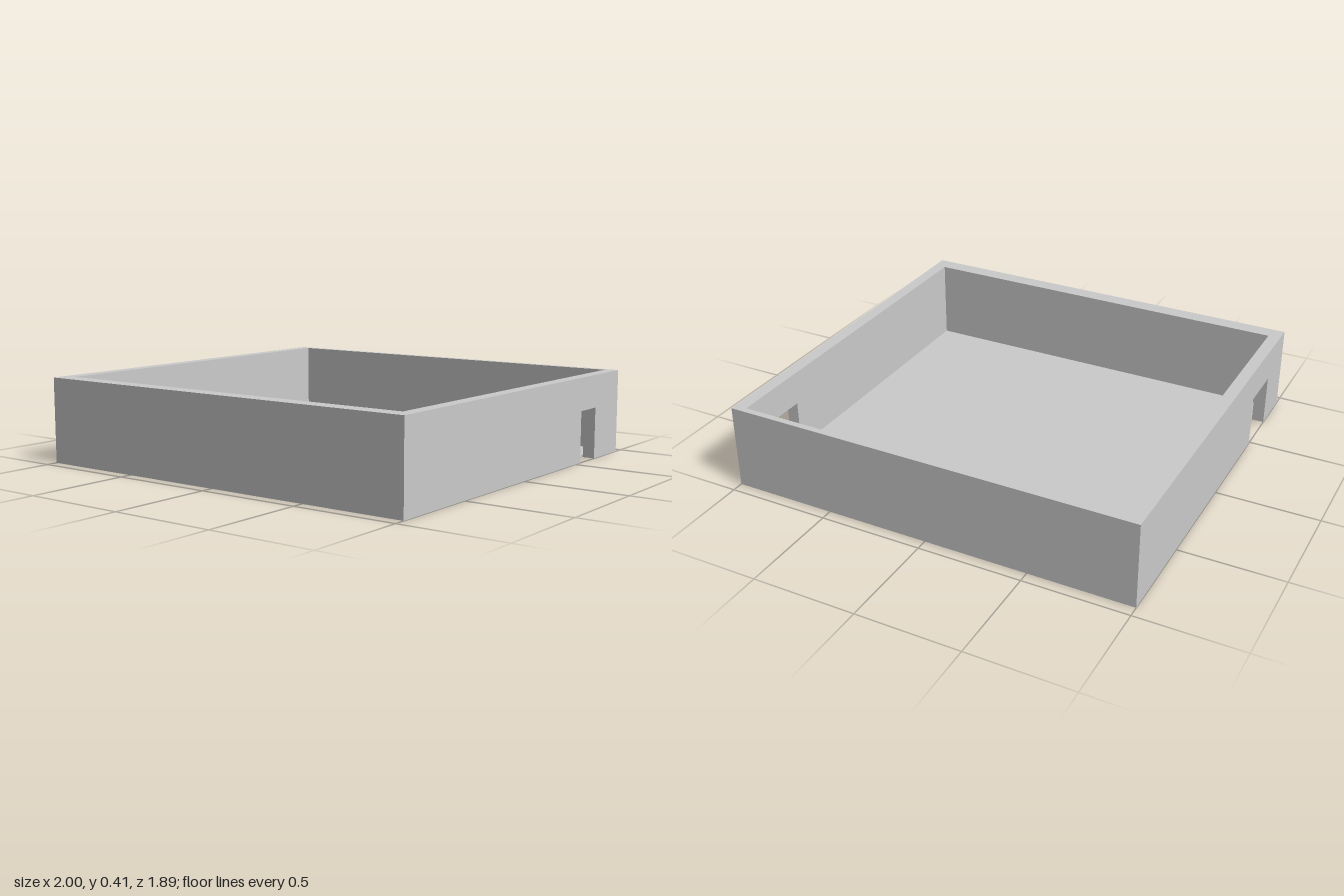
import * as THREE from 'three';

const HEIGHT = 0.41, HALF_X = 1, HALF_Z = 0.945;
const SIDE = 0.06, FRONT = 0.078, BACK = 0.03; // wall thicknesses
const FLOOR = 0.012, DOOR_TOP = 0.25;

export function createModel() {
  const group = new THREE.Group();
  const material = new THREE.MeshStandardMaterial({ color: 0xcccccc, flatShading: true });

  function add(name, geometry) {
    const mesh = new THREE.Mesh(geometry, material);
    mesh.name = name;
    group.add(mesh);
    return mesh;
  }

  // Side wall outlined in z and y, with a doorway cut up from its bottom edge
  function sideWall(name, outerX, doorStart, doorEnd) {
    const outline = [
      [-HALF_Z, 0], [doorStart, 0], [doorStart, DOOR_TOP], [doorEnd, DOOR_TOP],
      [doorEnd, 0], [HALF_Z, 0], [HALF_Z, HEIGHT], [-HALF_Z, HEIGHT],
    ];
    const shape = new THREE.Shape(outline.map(([z, y]) => new THREE.Vector2(z, y)));
    const geometry = new THREE.ExtrudeGeometry(shape, { depth: SIDE, bevelEnabled: false });
    geometry.rotateY(-Math.PI / 2);
    geometry.translate(outerX, 0, 0);
    add(name, geometry);
  }
  sideWall('leftWall', HALF_X, -0.7, -0.55);
  sideWall('rightWall', -HALF_X + SIDE, 0.49, 0.72);

  // Front and back walls fit between the side walls
  const innerWidth = 2 * (HALF_X - SIDE);
  add('frontWall', new THREE.BoxGeometry(innerWidth, HEIGHT, FRONT))
    .position.set(0, HEIGHT / 2, HALF_Z - FRONT / 2);
  add('backWall', new THREE.BoxGeometry(innerWidth, HEIGHT, BACK))
    .position.set(0, HEIGHT / 2, -HALF_Z + BACK / 2);

  // Thin floor slab inside the walls
  add('floor', new THREE.BoxGeometry(innerWidth, FLOOR, 2 * HALF_Z - FRONT - BACK))
    .position.set(0, FLOOR / 2, (BACK - FRONT) / 2);

  return group;
}
